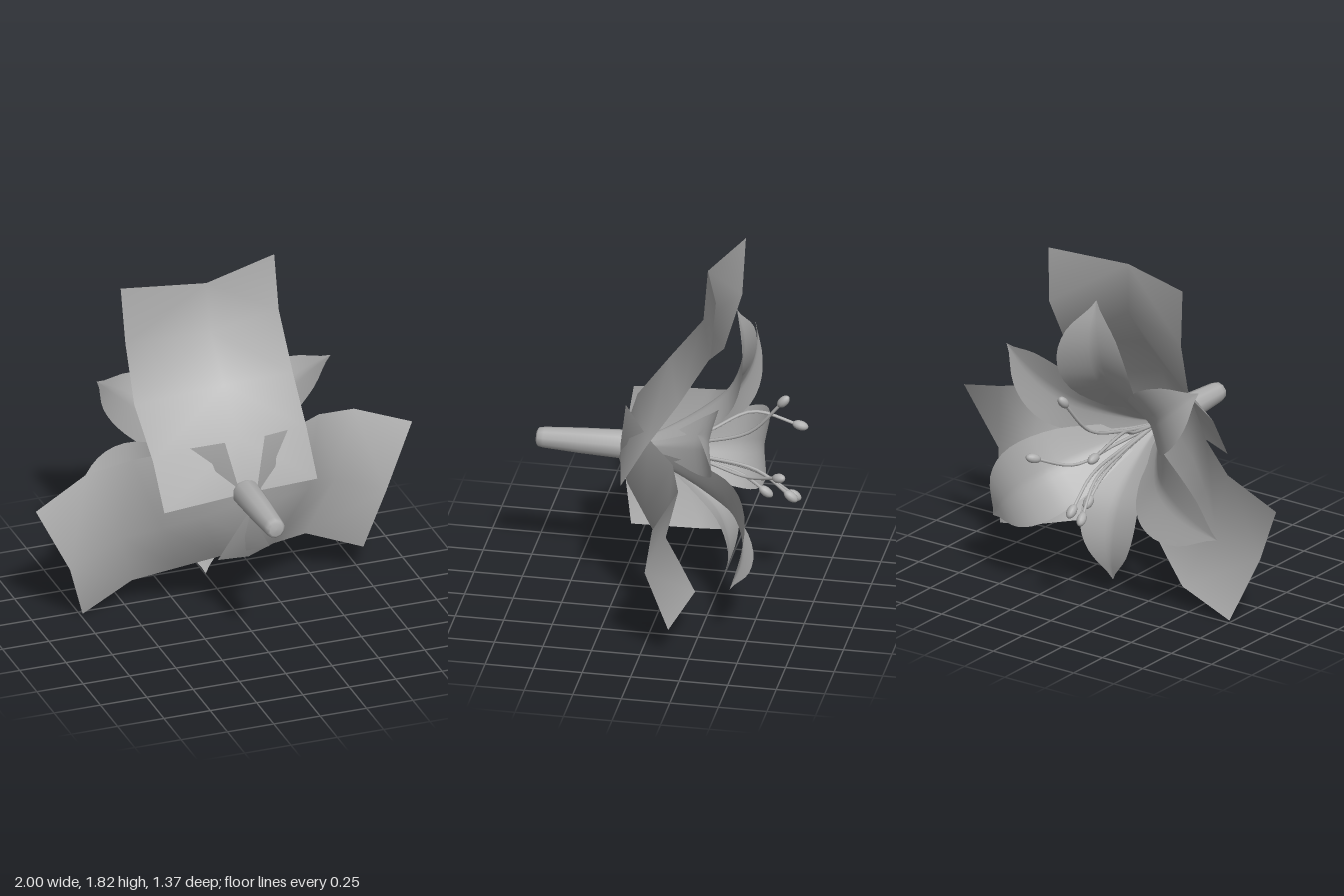
import * as THREE from 'three';

const V = (x, y, z) => new THREE.Vector3(x, y, z);
const grey = new THREE.MeshStandardMaterial({ color: 0xb0b0b0, side: THREE.DoubleSide });
grey.name = 'plain grey';

const AXIS = { x: -0.025, y: 0.787 }; // flower axis, running along z

// Smooth sheet through rows of points, its diagonals mirrored about the middle
function sheet(rows) {
  const n = rows[0].length, index = [];
  for (let i = 0; i < rows.length - 1; i++)
    for (let j = 0; j < n - 1; j++) {
      const a = i * n + j, b = a + 1, c = a + n, d = c + 1;
      if (j < (n - 1) / 2) index.push(a, b, d, a, d, c);
      else index.push(a, b, c, b, d, c);
    }
  const g = new THREE.BufferGeometry().setFromPoints(rows.flat());
  g.setIndex(index);
  g.computeVertexNormals();
  return g;
}

function add(parent, name, geometry) {
  const m = new THREE.Mesh(geometry, grey);
  m.name = name;
  parent.add(m);
  return m;
}

// Broad folded leaves, each given by its two side rails and its midrib
const leaves = {
  topLeaf: [
    [[-0.44, 0.71, 0.17], [-0.45, 0.94, 0.03], [-0.465, 1.15, -0.2], [-0.48, 1.46, -0.29], [-0.5, 1.77, -0.305]],
    [[-0.03, 0.79, 0.25], [-0.04, 1.07, 0.165], [-0.055, 1.29, 0], [-0.065, 1.51, -0.17], [-0.08, 1.782, -0.19]],
    [[0.385, 0.76, 0.17], [0.375, 0.99, 0.04], [0.36, 1.23, -0.12], [0.345, 1.51, -0.285], [0.33, 1.815, -0.31]],
  ],
  leftLeaf: [
    [[0.09, 1.07, 0.2], [0.3, 1.0, 0.045], [0.5, 0.965, -0.12], [0.715, 0.925, -0.19], [1, 0.84, -0.11]],
    [[0.02, 0.73, 0.25], [0.22, 0.69, 0.165], [0.39, 0.64, 0.04], [0.58, 0.59, -0.1], [0.835, 0.51, -0.04]],
    [[-0.15, 0.39, 0.165], [0.06, 0.315, 0.045], [0.25, 0.28, -0.11], [0.47, 0.24, -0.23], [0.75, 0.155, -0.145]],
  ],
  rightLeaf: [
    [[0.13, 0.42, 0.165], [-0.07, 0.32, 0.0], [-0.25, 0.23, -0.12], [-0.46, 0.13, -0.25], [-0.735, 0, -0.225]],
    [[-0.045, 0.74, 0.245], [-0.24, 0.64, 0.15], [-0.4, 0.55, 0.03], [-0.57, 0.45, -0.12], [-0.845, 0.325, -0.11]],
    [[-0.125, 1.07, 0.2], [-0.33, 0.98, 0.035], [-0.51, 0.89, -0.11], [-0.72, 0.79, -0.22], [-1, 0.645, -0.19]],
  ],
};

// Petal from the throat to its tip: flaring midrib, pointed outline, raised sides
const outline = new THREE.SplineCurve([[0, 0.08], [0.2, 0.38], [0.4, 0.86], [0.57, 1], [0.78, 0.7], [1, 0]]
  .map(p => new THREE.Vector2(...p)));

function petal(tip, halfWidth, bow = 0) {
  const dx = tip[0] - AXIS.x, dy = tip[1] - AXIS.y, len = Math.hypot(dx, dy);
  const across = V(-dy / len, dx / len, 0);
  const rib = new THREE.CatmullRomCurve3(
    [[0.03, -0.5], [0.12, -0.1], [0.28, 0.45], [0.45, 0.87], [0.64, 1.06], [0.82, 1.09], [1, 1]]
      .map(([r, z]) => V(AXIS.x + dx * r, AXIS.y + dy * r, tip[2] * z)
        .addScaledVector(across, bow * Math.sin(Math.PI * r))));
  const rows = [], N = 20, M = 6;
  for (let i = 0; i <= N; i++) {
    const t = i / N, p = rib.getPoint(t);
    const up = V().crossVectors(across, rib.getTangent(t)).normalize();
    if (up.z > 0) up.negate();
    const w = halfWidth * Math.max(0, outline.getPoint(t).y), row = [];
    for (let j = -M; j <= M; j++) {
      const s = j / M;
      row.push(p.clone().addScaledVector(across, w * s)
        .addScaledVector(up, w * (0.36 - 0.26 * t) * Math.abs(s) ** 1.2));
    }
    rows.push(row);
  }
  return sheet(rows);
}

// Stamens: the bend of each filament and the place of its anther
const stamenPoints = [
  [[0, 0.93, -0.42], [0.03, 1.135, -0.6]],
  [[-0.19, 0.95, -0.4], [-0.19, 0.895, -0.645]],
  [[0.09, 0.72, -0.42], [0.21, 0.79, -0.61]],
  [[-0.035, 0.7, -0.45], [-0.04, 0.565, -0.625]],
  [[-0.06, 0.68, -0.45], [-0.105, 0.54, -0.63]],
  [[-0.045, 0.66, -0.38], [-0.05, 0.575, -0.495]],
];

export function createModel() {
  const model = new THREE.Group();
  model.name = 'flower';

  for (const [name, rails] of Object.entries(leaves)) {
    const rows = rails[0].map((_, i) => rails.map(rail => V(...rail[i])));
    add(model, name, sheet(rows));
  }

  // Stem with a rounded end
  const profile = [[0, 0.12], [0.05, 0.17], [0.074, 0.25], [0.066, 0.45], [0.054, 0.64], [0.049, 0.67], [0.035, 0.68], [0, 0.682]];
  const stem = add(model, 'stem', new THREE.LatheGeometry(profile.map(p => new THREE.Vector2(...p)), 10).rotateX(Math.PI / 2));
  stem.position.set(AXIS.x, AXIS.y, 0);

  // Three wide inner petals and three narrower outer ones
  const petals = new THREE.Group();
  petals.name = 'petals';
  model.add(petals);
  add(petals, 'innerPetal', petal([0, 1.62, -0.355], 0.225));
  add(petals, 'innerPetal', petal([0.59, 0.33, -0.43], 0.21, 0.045));
  add(petals, 'innerPetal', petal([-0.745, 0.48, -0.345], 0.215, -0.015));
  for (const tip of [[0.62, 1.21, -0.27], [-0.62, 1.25, -0.33], [-0.05, 0.08, -0.28]])
    add(petals, 'outerPetal', petal(tip, 0.17));

  // Thin curved filaments tipped with oval anthers
  const stamens = new THREE.Group();
  stamens.name = 'stamens';
  model.add(stamens);
  for (const [bend, end] of stamenPoints) {
    const root = V(AXIS.x, AXIS.y, 0.12), mid = V(...bend), tip = V(...end);
    const low = V(AXIS.x, AXIS.y, 0).lerp(mid, 0.4);
    const path = new THREE.CatmullRomCurve3([root, low, mid, tip]);
    add(stamens, 'filament', new THREE.TubeGeometry(path, 18, 0.009, 6));
    const anther = add(stamens, 'anther', new THREE.SphereGeometry(1, 12, 8).scale(0.025, 0.042, 0.025));
    anther.position.copy(tip);
    anther.quaternion.setFromUnitVectors(V(0, 1, 0), path.getTangent(1));
  }
  return model;
}
